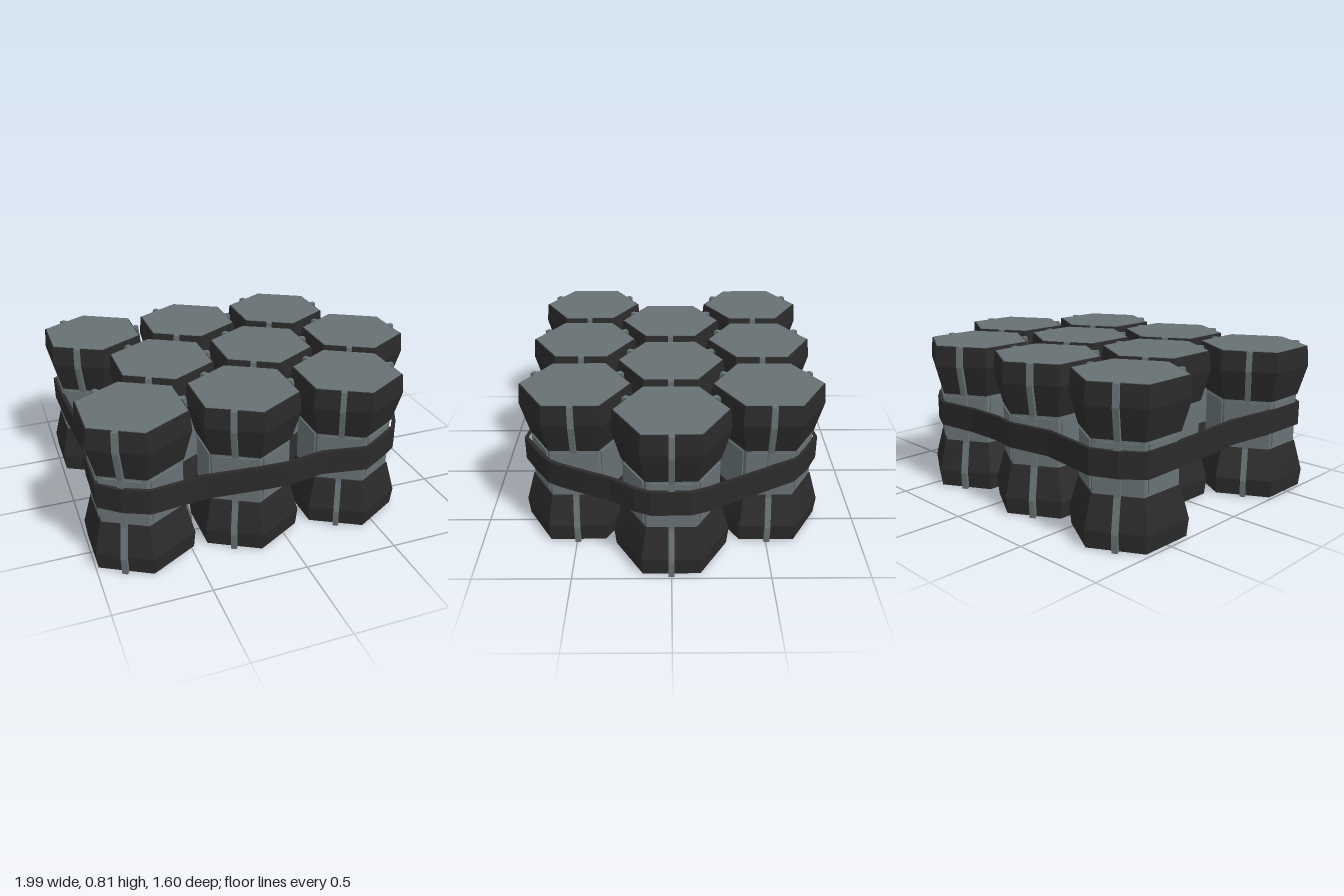
import * as THREE from 'three';

const black = new THREE.MeshStandardMaterial({ color: 0x2b2a2a, flatShading: true });
black.name = 'black rubber';
const grey = new THREE.MeshStandardMaterial({ color: 0x677174, flatShading: true });
grey.name = 'grey metal';

const APOTHEM = Math.cos(Math.PI / 6);
// radius (corner) and height along one canister
const PROFILE = [[0.29, 0], [0.3, 0.095], [0.253, 0.262], [0.253, 0.53], [0.3, 0.695], [0.29, 0.805]];

function add(parent, name, geometry, material) {
  const mesh = new THREE.Mesh(geometry, material);
  mesh.name = name;
  parent.add(mesh);
  return mesh;
}

// six-sided frustum between two heights, corners on +z and -z
function hex(rBottom, rTop, y0, y1) {
  return new THREE.CylinderGeometry(rTop, rBottom, y1 - y0, 6).translate(0, (y0 + y1) / 2, 0);
}

// thin strip that follows the canister's profile
function stripGeometry() {
  const outer = PROFILE.map(([r, y]) => new THREE.Vector2(r * APOTHEM + 0.024, y));
  const inner = PROFILE.map(([r, y]) => new THREE.Vector2(r * APOTHEM - 0.01, y)).reverse();
  return new THREE.ExtrudeGeometry(new THREE.Shape([...outer, ...inner]), { depth: 0.03, bevelEnabled: false })
    .translate(0, 0, -0.015);
}

function makeCanister() {
  const g = new THREE.Group();
  g.name = 'canister';
  const P = PROFILE;
  add(g, 'lowerCupRim', hex(P[0][0], P[1][0], 0.003, P[1][1]), black);
  add(g, 'lowerCupTaper', hex(P[1][0], P[2][0], P[1][1], P[2][1]), black);
  add(g, 'upperCupTaper', hex(P[3][0], P[4][0], P[3][1], P[4][1]), black);
  add(g, 'upperCupRim', hex(P[4][0], P[5][0], P[4][1], 0.802), black);
  add(g, 'core', hex(0.246, 0.246, 0.25, 0.54), grey);
  add(g, 'bottomCap', hex(0.283, 0.283, 0, 0.006), grey);
  add(g, 'topCap', hex(0.283, 0.283, 0.799, 0.805), grey);

  // raised panel on each side of the core
  const panel = new THREE.BoxGeometry(0.008, 0.24, 0.2).translate(0.246 * APOTHEM + 0.003, 0.396, 0);
  for (let i = 0; i < 6; i++) add(g, 'corePanel', panel, grey).rotation.y = i * Math.PI / 3;

  // strips on every second face
  const strip = stripGeometry();
  for (let i = 0; i < 3; i++) add(g, 'strip', strip, grey).rotation.y = i * Math.PI * 2 / 3;
  return g;
}

// flat strap wrapped around the whole bundle
function strapGeometry() {
  const path = [
    [-0.73, -0.78], [-0.64, -0.765], [-0.4, -0.73], [-0.15, -0.775], [-0.02, -0.75], [0.19, -0.75],
    [0.43, -0.78], [0.56, -0.715], [0.67, -0.63], [0.71, -0.56], [0.93, -0.18], [0.965, -0.09],
    [0.965, 0.1], [0.93, 0.18], [0.84, 0.3], [0.78, 0.43], [0.71, 0.57], [0.67, 0.63], [0.55, 0.71],
    [0.43, 0.78], [0.19, 0.74], [-0.02, 0.775], [-0.16, 0.77], [-0.45, 0.745], [-0.68, 0.775],
    [-0.73, 0.78], [-0.86, 0.72], [-0.965, 0.63], [-0.96, 0.32], [-0.93, 0.07], [-0.955, -0.31],
    [-0.965, -0.63], [-0.86, -0.72],
  ].map(([x, z]) => new THREE.Vector2(x, -z));
  const n = path.length;
  const inner = path.map((p, i) => {
    const t = path[(i + 1) % n].clone().sub(path[(i + n - 1) % n]).normalize();
    return new THREE.Vector2(p.x + t.y * -0.022, p.y + t.x * 0.022);
  });
  // flip the offset if it landed outside the loop
  if (Math.abs(THREE.ShapeUtils.area(inner)) > Math.abs(THREE.ShapeUtils.area(path))) {
    inner.forEach((q, i) => q.copy(path[i].clone().multiplyScalar(2).sub(q)));
  }
  const shape = new THREE.Shape(path);
  shape.holes.push(new THREE.Path(inner));
  return new THREE.ExtrudeGeometry(shape, { depth: 0.13, bevelEnabled: false })
    .rotateX(-Math.PI / 2).translate(0, 0.357, 0);
}

export function createModel() {
  const model = new THREE.Group();
  model.name = 'canisterBundle';

  // three staggered rows of three
  const rows = [[-0.505, [-0.727, -0.147, 0.435]], [0, [-0.447, 0.135, 0.713]], [0.495, [-0.735, -0.158, 0.428]]];
  for (const [z, xs] of rows) {
    for (const x of xs) {
      const c = makeCanister();
      c.position.set(x, 0, z);
      model.add(c);
    }
  }
  add(model, 'strap', strapGeometry(), black);
  return model;
}
